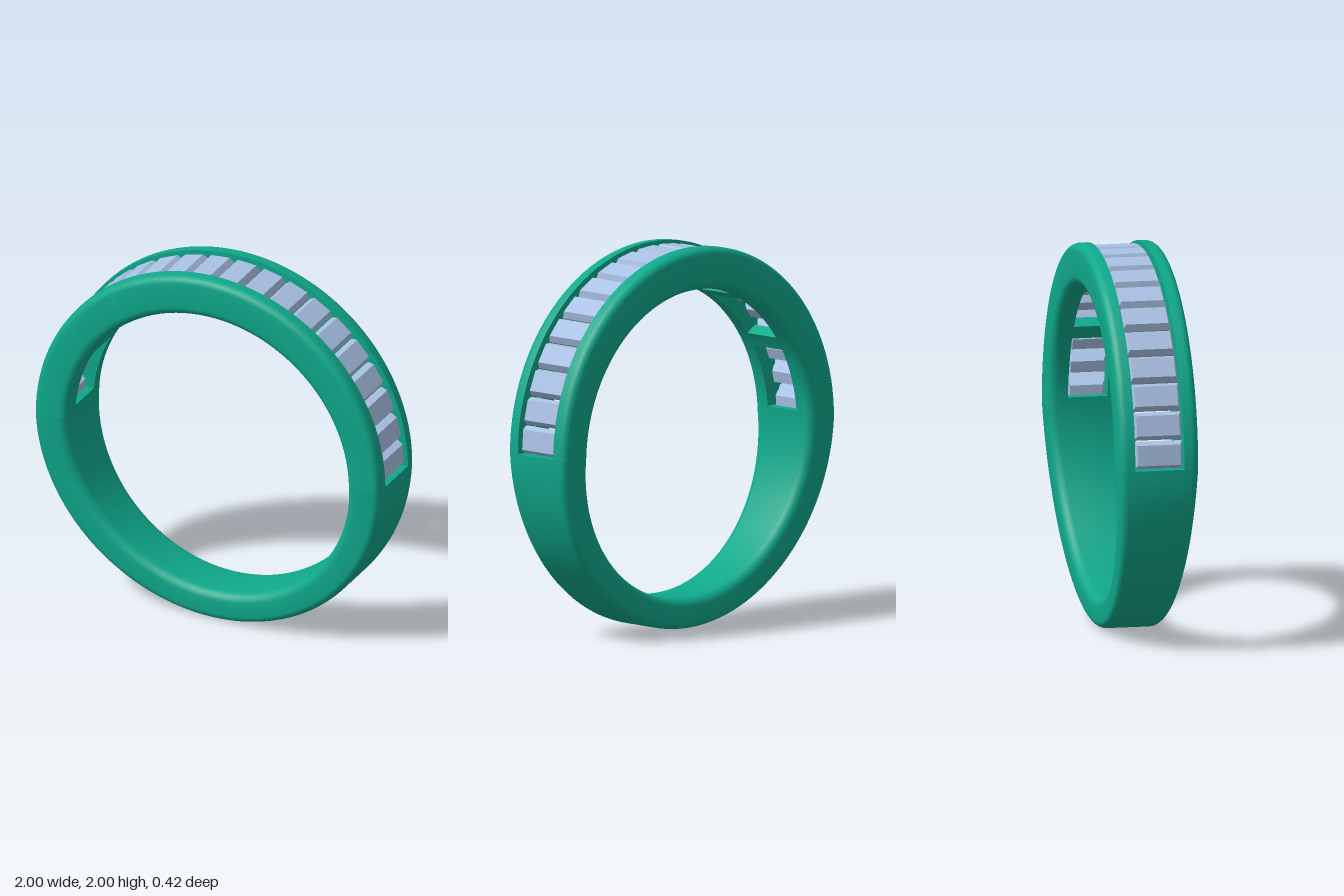
import * as THREE from 'three';
import { toCreasedNormals } from 'three/addons/utils/BufferGeometryUtils.js';

const CY = 1;             // height of the ring centre
const CHANNEL = 0.13;     // half width of the stone channel
const RAD = Math.PI / 180;

// distance from ring centre to the finger hole, which sits slightly low
const holeRadius = (t) => -0.03 * Math.sin(t) + Math.sqrt(0.81 ** 2 - (0.03 * Math.cos(t)) ** 2);
// half width of the band: constant above, tapering to the bottom
const halfWidth = (t) => 0.21 - 0.06 * Math.max(0, -Math.sin(t));

// rectangular (radius, z) section with a fillet per corner, counterclockwise
function section(r0, r1, z0, z1, fillets = [0, 0, 0, 0]) {
  const corners = [[r0, z0, 1, 1], [r1, z0, -1, 1], [r1, z1, -1, -1], [r0, z1, 1, -1]];
  const pts = [];
  corners.forEach(([r, z, sr, sz], i) => {
    const f = fillets[i], steps = f ? 6 : 0;
    for (let k = 0; k <= steps; k++) {
      const a = Math.PI + (i + (steps ? k / steps : 0)) * Math.PI / 2;
      pts.push(f ? [r + sr * f + f * Math.cos(a), z + sz * f + f * Math.sin(a)] : [r, z]);
    }
  });
  return pts;
}

// sweep a section around the ring from angle t0 to t1, with end caps
function sweep(sectionAt, t0, t1) {
  const steps = Math.max(2, Math.ceil((t1 - t0) / (1.5 * RAD)));
  const pos = [], idx = [];
  let n = 0;
  for (let i = 0; i <= steps; i++) {
    const t = t0 + (t1 - t0) * i / steps, loop = sectionAt(t);
    n = loop.length;
    for (const [r, z] of loop) pos.push(r * Math.cos(t), CY + r * Math.sin(t), z);
  }
  for (let i = 0; i < steps; i++) for (let j = 0; j < n; j++) {
    const k = (j + 1) % n, a = i * n, b = a + n;
    idx.push(a + j, b + j, b + k, a + j, b + k, a + k);
  }
  const e = steps * n;
  for (let j = 1; j < n - 1; j++) idx.push(0, j, j + 1, e, e + j + 1, e + j);
  const g = new THREE.BufferGeometry();
  g.setAttribute('position', new THREE.Float32BufferAttribute(pos, 3));
  g.setIndex(idx);
  return toCreasedNormals(g, 0.5);
}

// step-cut stone: stacked rectangles [height, half length x, half width z]
function stoneGeometry() {
  const levels = [[0.85, 0.03, 0.085], [0.93, 0.069, 0.127], [0.95, 0.072, 0.127], [0.984, 0.053, 0.113]];
  const pos = [], idx = [];
  for (const [y, x, z] of levels) pos.push(-x, y, z, x, y, z, x, y, -z, -x, y, -z);
  for (let i = 0; i < levels.length - 1; i++) for (let j = 0; j < 4; j++) {
    const k = (j + 1) % 4, a = i * 4, b = a + 4;
    idx.push(a + j, a + k, b + k, a + j, b + k, b + j);
  }
  const top = (levels.length - 1) * 4;
  idx.push(0, 2, 1, 0, 3, 2, top, top + 1, top + 2, top, top + 2, top + 3);
  const g = new THREE.BufferGeometry();
  g.setAttribute('position', new THREE.Float32BufferAttribute(pos, 3));
  g.setIndex(idx);
  return toCreasedNormals(g, 0.1);
}

export function createModel() {
  const group = new THREE.Group();
  const metal = new THREE.MeshStandardMaterial({ color: 0x0fa88b });
  const gem = new THREE.MeshStandardMaterial({ color: 0xa9c1e4 });
  const add = (name, geometry, material = metal) => {
    const mesh = new THREE.Mesh(geometry, material);
    mesh.name = name;
    group.add(mesh);
    return mesh;
  };
  const IN = 0.05, OUT = 0.04;

  // solid tapering lower half
  add('shank', sweep((t) => section(holeRadius(t), 1, -halfWidth(t), halfWidth(t), [IN, OUT, OUT, IN]),
    Math.PI, 2 * Math.PI));

  // channel rails and the ledges that carry the stones
  add('frontRail', sweep((t) => section(holeRadius(t), 1, CHANNEL, 0.21, [0, 0, OUT, IN]), 0, Math.PI));
  add('backRail', sweep((t) => section(holeRadius(t), 1, -0.21, -CHANNEL, [IN, OUT, 0, 0]), 0, Math.PI));
  add('frontLedge', sweep((t) => section(holeRadius(t), 0.9, 0.105, CHANNEL), 0, Math.PI));
  add('backLedge', sweep((t) => section(holeRadius(t), 0.9, -CHANNEL, -0.105), 0, Math.PI));

  // cross bars between the windows inside the band
  for (const deg of [31, 63, 117, 149]) {
    add('crossBar', sweep((t) => section(holeRadius(t), 0.86, -0.105, 0.105), (deg - 3) * RAD, (deg + 3) * RAD));
  }
  // closed strips at both ends of the channel
  for (const deg of [0, 177]) {
    add('channelEnd', sweep((t) => section(holeRadius(t), 0.86, -0.105, 0.105), deg * RAD, (deg + 3) * RAD));
  }

  // twenty stones across the upper half
  const geometry = stoneGeometry(), count = 20;
  for (let i = 0; i < count; i++) {
    const stone = add('stone', geometry, gem);
    stone.position.y = CY;
    stone.rotation.z = (i + 0.5) * Math.PI / count - Math.PI / 2;
  }
  return group;
}
